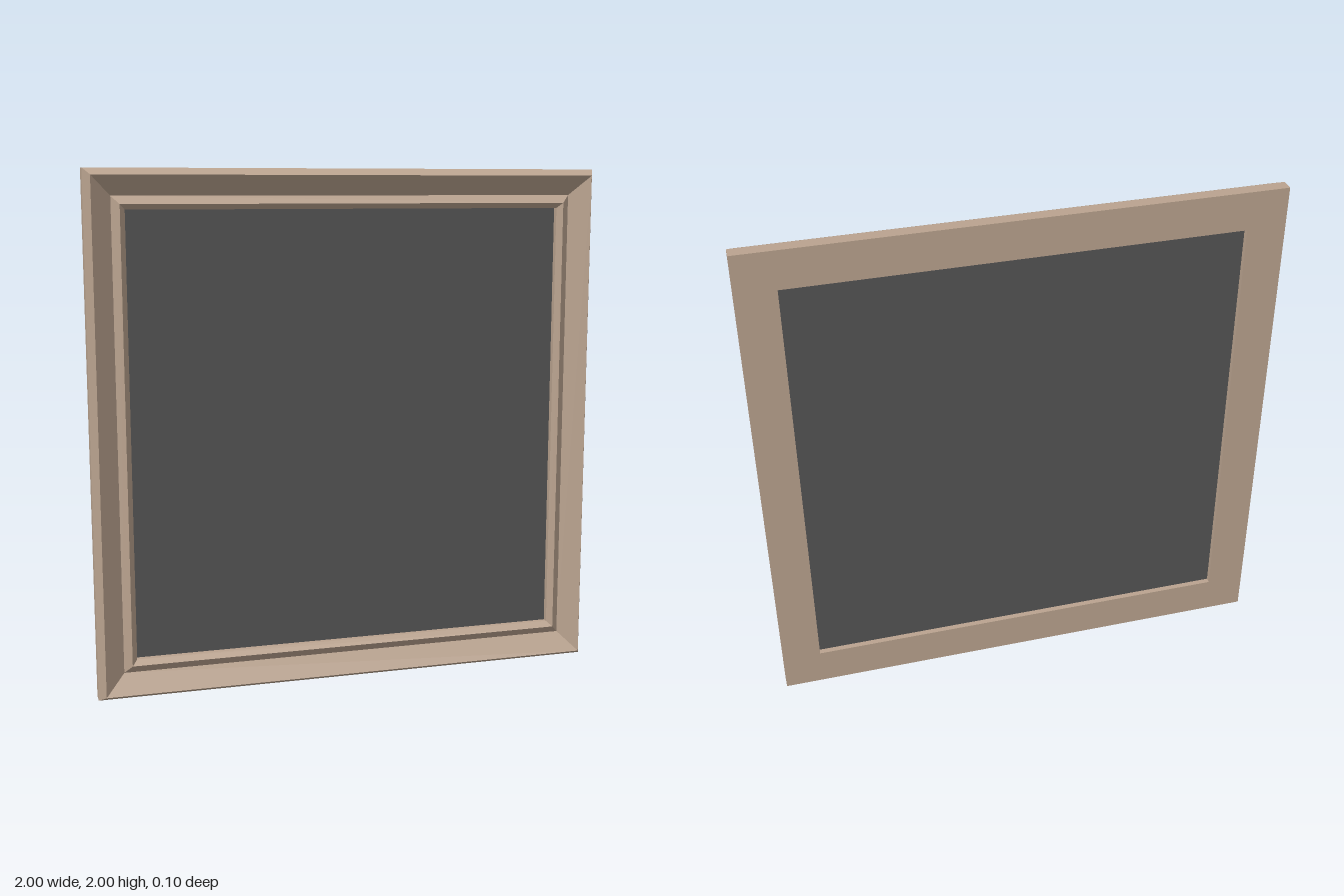
import * as THREE from 'three';

// Moulding cross-section: [inset from the outer edge, depth z], closed loop
const PROFILE = [
  [0, -0.05], [0, 0], [0.025, 0.05],   // outer side and bevel
  [0.1, -0.003], [0.13, 0.02],         // long slope, then inner lip
  [0.15, 0], [0.15, -0.05], [0, -0.05] // inner wall and flat back
];

export function createModel() {
  const model = new THREE.Group();
  model.name = 'framedPanel';

  const frameMaterial = new THREE.MeshStandardMaterial({ color: 0xbaa38f, flatShading: true });
  const panelMaterial = new THREE.MeshStandardMaterial({ color: 0x555555 });

  // Mitred square frame: a four-sided lathe turned so its flats face the axes
  const points = PROFILE.map(([inset, z]) => new THREE.Vector2((1 - inset) * Math.SQRT2, z));
  const frameGeometry = new THREE.LatheGeometry(points, 4, Math.PI / 4).toNonIndexed();
  frameGeometry.rotateX(Math.PI / 2);
  frameGeometry.computeVertexNormals();
  const frame = new THREE.Mesh(frameGeometry, frameMaterial);
  frame.name = 'frame';
  frame.position.y = 1;
  model.add(frame);

  // Thin dark panel set inside the opening
  const panel = new THREE.Mesh(new THREE.BoxGeometry(1.7, 1.7, 0.006), panelMaterial);
  panel.name = 'panel';
  panel.position.set(0, 1, -0.025);
  model.add(panel);

  return model;
}
